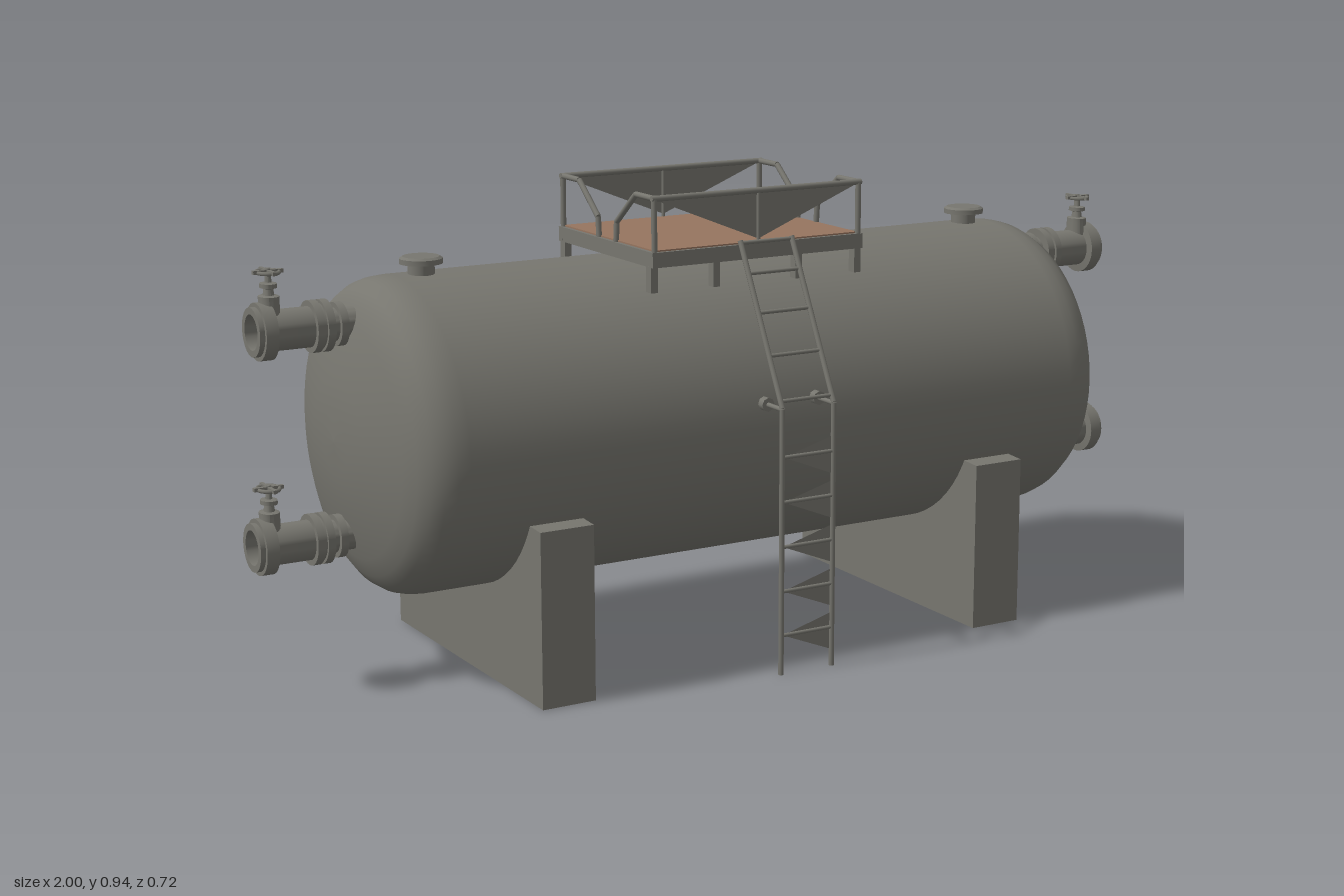
import * as THREE from 'three';
import { toCreasedNormals } from 'three/addons/utils/BufferGeometryUtils.js';

const CY = 0.486, CZ = -0.028; // tank axis
const PZ = -0.024; // platform centre in z

export function createModel() {
  const root = new THREE.Group();
  root.name = 'storageTank';
  const steel = new THREE.MeshStandardMaterial({ color: 0x77766f });
  steel.name = 'grey steel';
  steel.side = THREE.DoubleSide;
  const rust = new THREE.MeshStandardMaterial({ color: 0x96755f });
  rust.name = 'brown deck';

  const group = (name, parent = root) => {
    const g = new THREE.Group();
    g.name = name;
    parent.add(g);
    return g;
  };
  const add = (parent, name, geo, x = 0, y = 0, z = 0, mat = steel) => {
    const m = new THREE.Mesh(geo, mat);
    m.name = name;
    m.position.set(x, y, z);
    parent.add(m);
    return m;
  };
  const box = (parent, name, w, h, d, x, y, z, mat) =>
    add(parent, name, new THREE.BoxGeometry(w, h, d), x, y, z, mat);
  // round bar between two points
  const rod = (parent, name, a, b, r = 0.006) => {
    const p = new THREE.Vector3(...a), q = new THREE.Vector3(...b);
    const d = q.clone().sub(p);
    const m = add(parent, name, new THREE.CylinderGeometry(r, r, d.length(), 8));
    m.position.copy(p).add(q).multiplyScalar(0.5);
    m.quaternion.setFromUnitVectors(new THREE.Vector3(0, 1, 0), d.normalize());
    return m;
  };
  const path = (parent, name, pts, r) => {
    for (let i = 1; i < pts.length; i++) rod(parent, name, pts[i - 1], pts[i], r);
  };
  const lathe = (pts, seg) =>
    new THREE.LatheGeometry(pts.map(([r, y]) => new THREE.Vector2(r, y)), seg);
  const triangle = (parent, name, a, b, c) => {
    const g = new THREE.BufferGeometry().setFromPoints([a, b, c].map(p => new THREE.Vector3(...p)));
    g.computeVertexNormals();
    return add(parent, name, g);
  };

  // tank shell with shallow domed ends
  const end = [[0, 0.829], [0.06, 0.827], [0.12, 0.82], [0.18, 0.806], [0.23, 0.792], [0.265, 0.778],
    [0.288, 0.76], [0.302, 0.738], [0.308, 0.715], [0.31, 0.69]];
  const shell = end.map(([r, x]) => [r, -x]).concat([...end].reverse());
  const shellGeo = lathe(shell, 64).rotateZ(-Math.PI / 2).scale(1, 1, 0.319 / 0.31);
  add(root, 'tankShell', shellGeo, 0, CY, CZ);

  // saddles with a curved cradle
  const a = -0.454;
  const cradle = new THREE.Shape();
  cradle.moveTo(-0.33, 0);
  cradle.lineTo(0.33, 0);
  cradle.lineTo(0.33, 0.348);
  cradle.lineTo(0.287, 0.348);
  cradle.absellipse(0, CY, 0.317, 0.308, a, -Math.PI - a, true);
  cradle.lineTo(-0.33, 0.348);
  cradle.closePath();
  const saddleGeo = new THREE.ExtrudeGeometry(cradle, { depth: 0.113, bevelEnabled: false, curveSegments: 32 })
    .translate(0, 0, -0.0565).rotateY(Math.PI / 2);
  for (const s of [-1, 1]) add(root, 'saddle', saddleGeo, s * 0.501, 0, CZ);

  // hatches on top
  const hatchGeo = toCreasedNormals(lathe([[0.026, -0.05], [0.026, 0.018], [0.042, 0.02], [0.042, 0.03],
    [0.036, 0.034], [0, 0.034]], 24), 0.5);
  for (const s of [-1, 1]) add(root, 'hatch', hatchGeo, s * 0.638, 0.796, CZ);

  // flanged pipes with hand valves at both ends
  const pipeProfile = [[0.03, 0.72], [0.03, 0.805], [0.042, 0.805], [0.042, 0.82], [0.032, 0.82], [0.032, 0.835],
    [0.05, 0.835], [0.05, 0.85], [0.044, 0.85], [0.044, 0.856], [0.05, 0.856], [0.05, 0.871], [0.039, 0.871],
    [0.039, 0.948], [0.055, 0.95], [0.055, 0.975], [0.047, 0.975], [0.047, 0.985], [0.034, 0.985],
    [0.034, 0.9], [0, 0.9]];
  const pipeGeo = toCreasedNormals(lathe(pipeProfile, 32).rotateZ(-Math.PI / 2), 0.5);
  const bonnetGeo = toCreasedNormals(lathe([[0.026, 0], [0.024, 0.056], [0.024, 0.066], [0.013, 0.068],
    [0.011, 0.08], [0.02, 0.082], [0.02, 0.09], [0.008, 0.092], [0.006, 0.118], [0, 0.118]], 16), 0.5);
  const wheelGeo = new THREE.TorusGeometry(0.026, 0.004, 6, 20).rotateX(Math.PI / 2);
  for (const s of [-1, 1]) for (const [y, shift] of [[0.715, 0], [0.302, 0.015]]) {
    const p = group('pipeAssembly');
    p.position.set(s * shift, y, CZ);
    p.rotation.y = s < 0 ? Math.PI : 0;
    add(p, 'pipe', pipeGeo);
    const v = group('valve', p);
    v.position.x = 0.948;
    v.scale.x = 0.8;
    add(v, 'bonnet', bonnetGeo);
    add(v, 'handWheel', wheelGeo, 0, 0.111, 0);
    for (const t of [0, Math.PI / 2]) {
      box(v, 'wheelSpoke', 0.074, 0.007, 0.009, 0, 0.112, 0).rotation.y = t;
    }
  }

  // platform frame and deck
  const plat = group('platform');
  for (const s of [-1, 1]) {
    box(plat, 'longBeam', 0.485, 0.03, 0.014, 0, 0.815, PZ + s * 0.19);
    box(plat, 'endBeam', 0.014, 0.03, 0.394, s * 0.235, 0.815, PZ);
    box(plat, 'crossBeam', 0.012, 0.02, 0.37, s * 0.095, 0.812, PZ);
    for (const x of [-0.235, -0.095, 0.095, 0.235]) {
      box(plat, 'foot', 0.015, 0.052, 0.02, x, 0.776, PZ + s * 0.18);
    }
  }
  box(plat, 'deckSupport', 0.46, 0.006, 0.37, 0, 0.825, PZ);
  box(plat, 'deck', 0.468, 0.005, 0.378, 0, 0.8305, PZ, rust);

  // guard rails, open in the middle of each end
  const rails = group('guardRails');
  for (const s of [-1, 1]) {
    const z = PZ + s * 0.19;
    rod(rails, 'topRail', [-0.241, 0.934, z], [0.241, 0.934, z]);
    rod(rails, 'midPost', [0, 0.83, z], [0, 0.934, z], 0.004);
    triangle(rails, 'railPanel', [-0.235, 0.932, z], [0, 0.838, z], [0.235, 0.932, z]);
    for (const x of [-0.235, 0.235]) {
      path(rails, 'endRail', [[x, 0.82, z], [x, 0.934, z], [x, 0.934, PZ + s * 0.118],
        [x, 0.87, PZ + s * 0.039], [x, 0.825, PZ + s * 0.035]]);
    }
  }

  // ladder: upright below, leaning in to the platform above
  const ladder = group('ladder');
  const zAt = y => (y < 0.535 ? 0.353 : 0.353 - (y - 0.535) * 0.158 / 0.305);
  for (const s of [-1, 1]) {
    const x = s * 0.059;
    path(ladder, 'ladderRail', [[x, 0, 0.353], [x, 0.537, 0.353], [x, 0.842, 0.195]], 0.0055);
    rod(ladder, 'bracket', [x, 0.535, 0.353], [x, 0.535, 0.27], 0.005);
    rod(ladder, 'bracketPad', [x, 0.535, 0.302], [x, 0.535, 0.28], 0.014);
  }
  for (const y of [0.08, 0.17, 0.26, 0.35, 0.44, 0.55, 0.632, 0.71, 0.782, 0.838]) {
    rod(ladder, 'rung', [-0.059, y, zAt(y)], [0.059, y, zAt(y)], 0.004);
    if (y < 0.5) {
      triangle(ladder, 'rungGusset', [-0.055, y, 0.353], [0.055, y - 0.045, 0.353], [0.055, y + 0.03, 0.353]);
    }
  }
  return root;
}
